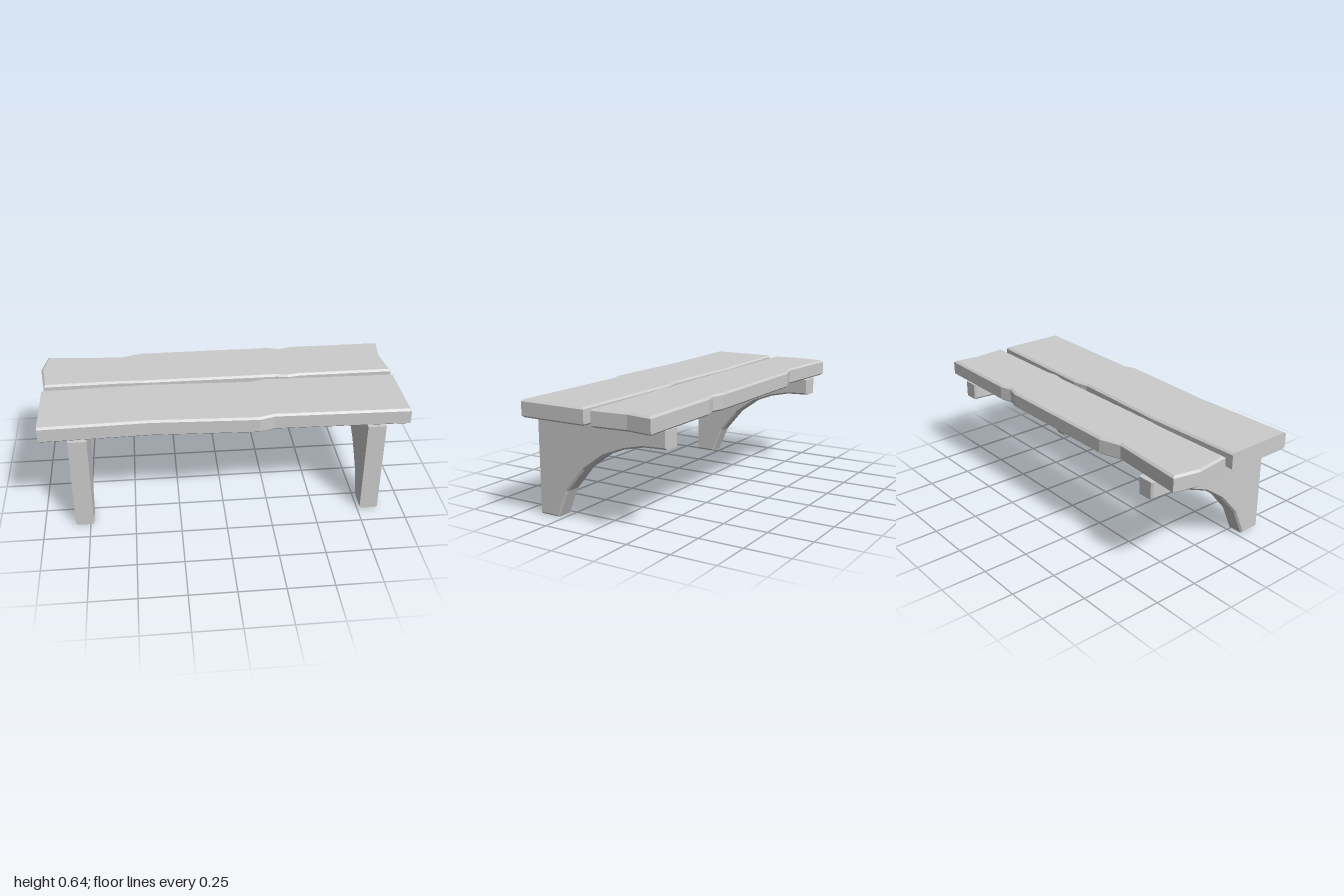
import * as THREE from 'three';

const material = new THREE.MeshStandardMaterial({ color: 0xcccccc, flatShading: true });

// Moves every corner of a closed counter-clockwise outline inwards by d.
function inset(points, d) {
  const n = points.length;
  return points.map((p, i) => {
    const a = points[(i + n - 1) % n], b = points[(i + 1) % n];
    const e1 = new THREE.Vector2().subVectors(p, a).normalize();
    const e2 = new THREE.Vector2().subVectors(b, p).normalize();
    const n1 = new THREE.Vector2(-e1.y, e1.x), n2 = new THREE.Vector2(-e2.y, e2.x);
    const m = n1.clone().add(n2).normalize();
    return p.clone().addScaledVector(m, d / Math.max(0.5, m.dot(n1)));
  });
}

// Slab of depth t along local z with its rim chamfered from outer to inner outline.
function chamferedSlab(outer, inner, t, bevel) {
  const rings = [[inner, 0], [outer, bevel], [outer, t - bevel], [inner, t]];
  const n = outer.length, positions = [], indices = [];
  for (const [ring, z] of rings) for (const p of ring) positions.push(p.x, p.y, z);
  for (let r = 0; r < 3; r++) {
    for (let i = 0; i < n; i++) {
      const j = (i + 1) % n;
      const a = r * n + i, b = r * n + j, c = a + n, d = b + n;
      indices.push(a, b, d, a, d, c);
    }
  }
  for (const [a, b, c] of THREE.ShapeUtils.triangulateShape(inner, [])) {
    indices.push(a, c, b, 3 * n + a, 3 * n + b, 3 * n + c);
  }
  const geometry = new THREE.BufferGeometry();
  geometry.setAttribute('position', new THREE.Float32BufferAttribute(positions, 3));
  geometry.setIndex(indices);
  const flat = geometry.toNonIndexed();
  flat.computeVertexNormals();
  return flat;
}

const toPoints = (list) => list.map(([x, y]) => new THREE.Vector2(x, y));

// Plank outlines are (x, -z), counter-clockwise from the front left corner.
function plank(name, outline, adjust) {
  const outer = toPoints(outline);
  const inner = inset(outer, 0.012);
  if (adjust) inner.forEach(adjust);
  const mesh = new THREE.Mesh(chamferedSlab(outer, inner, 0.093, 0.01), material);
  mesh.name = name;
  mesh.rotation.x = -Math.PI / 2;
  mesh.position.y = 0.545;
  return mesh;
}

// Leg panel outline is (-z, y), with a curved cut under the seat.
function leg(name, x) {
  const outer = toPoints([
    [-0.392, 0], [-0.28, 0], [-0.215, 0.15], [-0.105, 0.28], [0.02, 0.37],
    [0.145, 0.42], [0.26, 0.446], [0.396, 0.452], [0.396, 0.546], [-0.392, 0.546],
  ]);
  const inner = inset(outer, 0.01);
  // The front and top edges stay square.
  inner[0].x = inner[9].x = -0.392;
  inner[8].y = inner[9].y = 0.546;
  const mesh = new THREE.Mesh(chamferedSlab(outer, inner, 0.1, 0.01), material);
  mesh.name = name;
  mesh.rotation.y = Math.PI / 2;
  mesh.position.x = x - 0.05;
  return mesh;
}

export function createModel() {
  const bench = new THREE.Group();
  bench.name = 'bench';

  bench.add(plank('frontPlank', [
    [-0.98, -0.384], [-0.4, -0.368], [0.18, -0.393], [0.26, -0.368], [0.995, -0.384],
    [0.995, 0.008], [0.26, 0.024], [0.17, 0.003], [-0.4, 0.024], [-0.98, 0.008],
  ], (p) => {
    // The left end is sawn square.
    if (p.x < -0.9) p.x = -0.98;
  }));

  bench.add(plank('backPlank', [
    [-0.975, 0.053], [-0.55, 0.058], [-0.42, 0.052], [0.33, 0.052], [0.4, 0.041], [0.47, 0.052],
    [0.995, 0.052], [0.975, 0.25], [0.995, 0.396], [0.47, 0.396], [0.4, 0.376], [0.33, 0.396],
    [-0.43, 0.396], [-0.55, 0.358], [-0.97, 0.394], [-1, 0.25],
  ]));

  bench.add(leg('rightLeg', -0.78), leg('leftLeg', 0.815));
  return bench;
}
